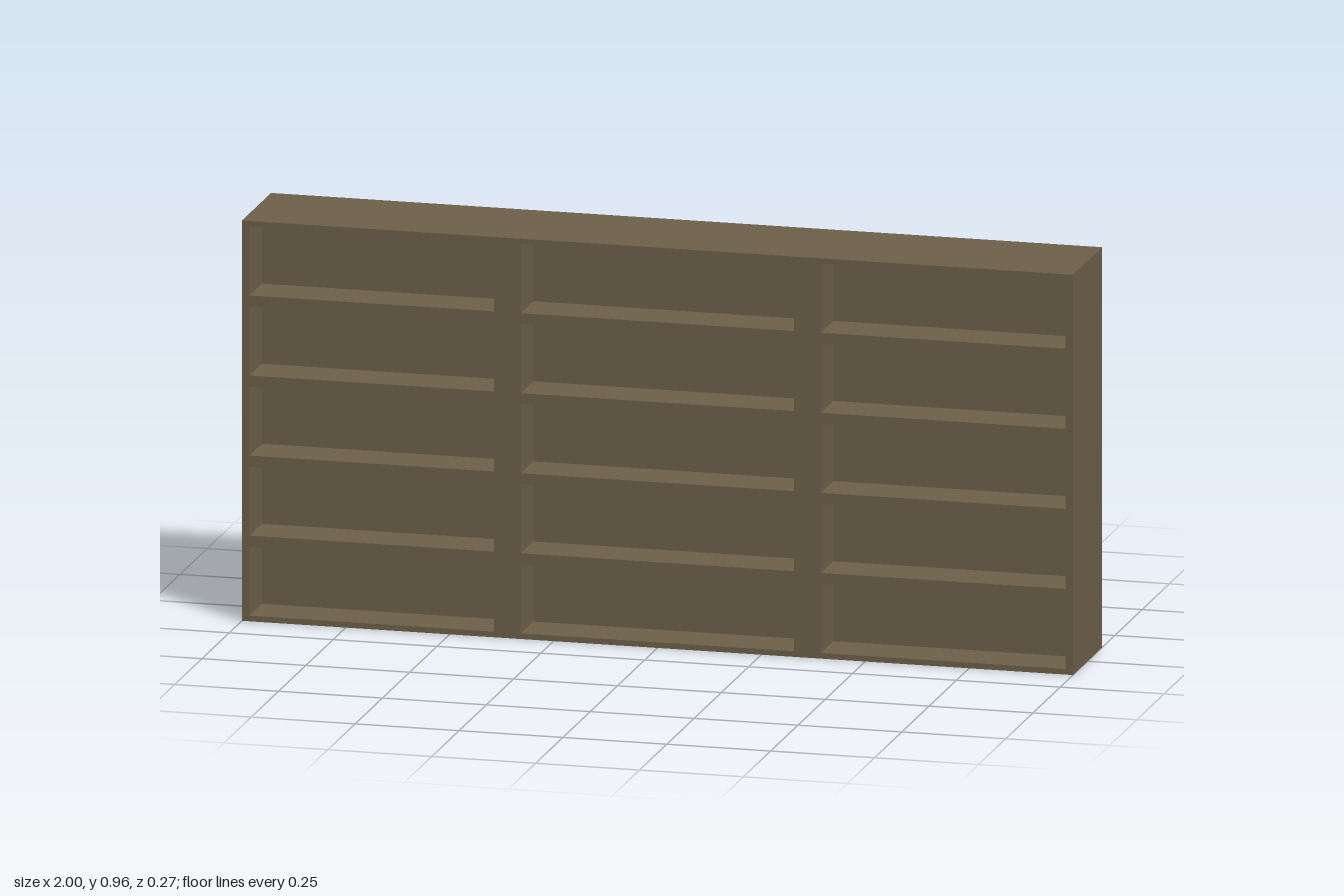
import * as THREE from 'three';

const WIDTH = 2, HEIGHT = 0.962, DEPTH = 0.267;
const RECESS = 0.115; // depth of each compartment
const ROWS = 5, SHELF = 0.027;

export function createModel() {
  const group = new THREE.Group();
  group.name = 'shelfUnit';
  const wood = new THREE.MeshStandardMaterial({ color: 0x6f614a });
  wood.name = 'brown wood';

  const rectangle = (path, x0, y0, x1, y1) => {
    path.moveTo(x0, y0);
    path.lineTo(x1, y0);
    path.lineTo(x1, y1);
    path.lineTo(x0, y1);
    path.closePath();
    return path;
  };

  // Shelf grid: three columns of five openings cut through one panel
  const face = rectangle(new THREE.Shape(), -WIDTH / 2, 0, WIDTH / 2, HEIGHT);
  const columns = [[-0.982, -0.393], [-0.329, 0.329], [0.393, 0.982]];
  const pitch = HEIGHT / ROWS;
  for (const [x0, x1] of columns) {
    for (let row = 0; row < ROWS; row++) {
      const y0 = row * pitch + SHELF / 2;
      face.holes.push(rectangle(new THREE.Path(), x0, y0, x1, y0 + pitch - SHELF));
    }
  }
  const grid = new THREE.Mesh(
    new THREE.ExtrudeGeometry(face, { depth: RECESS, bevelEnabled: false }), wood);
  grid.name = 'shelfGrid';
  grid.position.z = DEPTH / 2 - RECESS;
  group.add(grid);

  // Solid back closing the compartments
  const backDepth = DEPTH - RECESS;
  const back = new THREE.Mesh(new THREE.BoxGeometry(WIDTH, HEIGHT, backDepth), wood);
  back.name = 'backBody';
  back.position.set(0, HEIGHT / 2, -DEPTH / 2 + backDepth / 2);
  group.add(back);

  return group;
}
